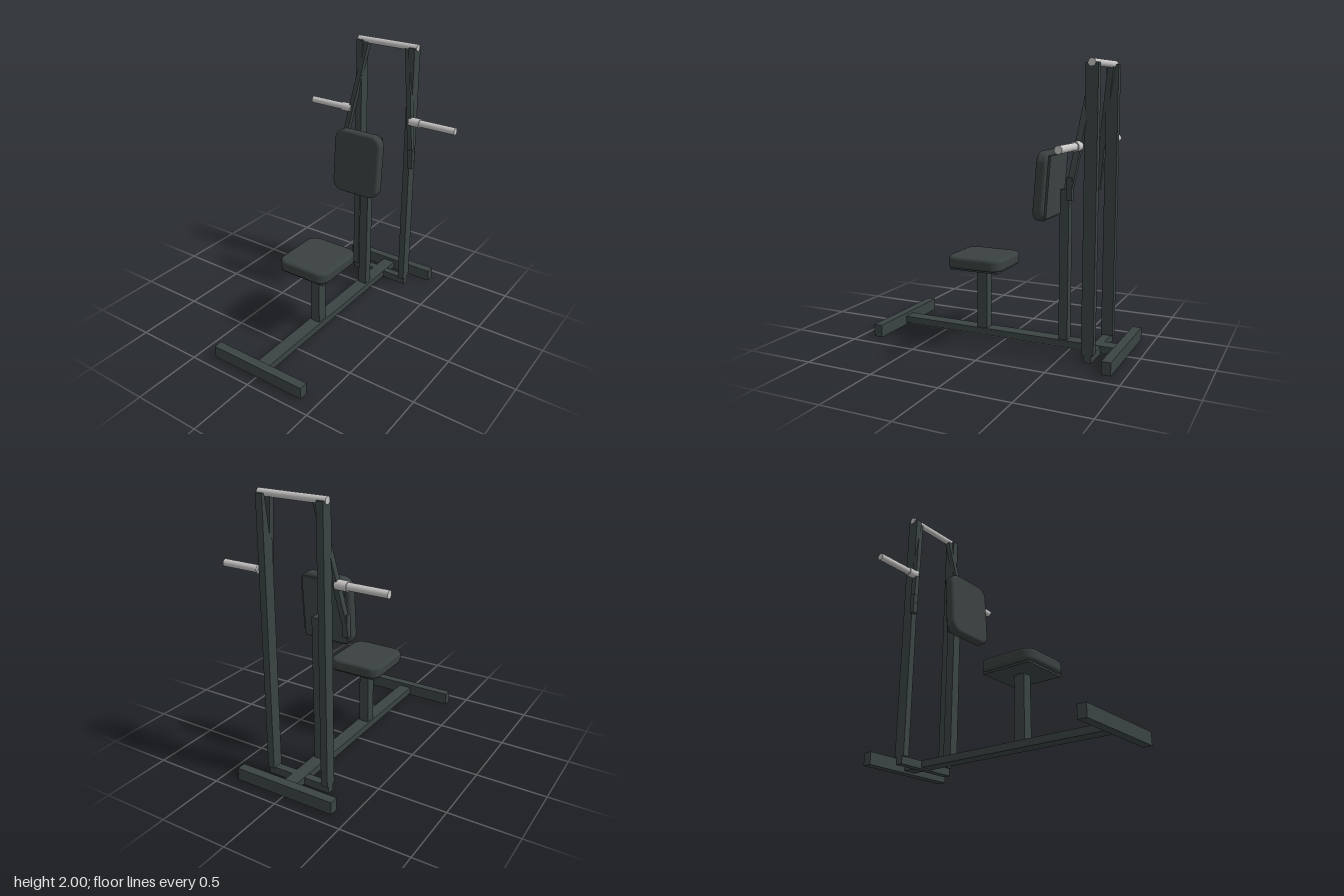
import * as THREE from 'three';

const frameMat = new THREE.MeshStandardMaterial({ color: 0x3b4443, name: 'dark frame' });
const padMat = new THREE.MeshStandardMaterial({ color: 0x394140, name: 'dark padding' });
const metalMat = new THREE.MeshStandardMaterial({ color: 0xc6c5c4, name: 'bare metal' });

function add(parent, name, geometry, material, x = 0, y = 0, z = 0) {
  const mesh = new THREE.Mesh(geometry, material);
  mesh.name = name;
  mesh.position.set(x, y, z);
  parent.add(mesh);
  return mesh;
}

// Box given by its lower and upper corner
function box(parent, name, [x0, y0, z0], [x1, y1, z1], material = frameMat) {
  return add(parent, name, new THREE.BoxGeometry(x1 - x0, y1 - y0, z1 - z0), material,
    (x0 + x1) / 2, (y0 + y1) / 2, (z0 + z1) / 2);
}

// Round bar lying along x
function rod(parent, name, x0, x1, y, z, radius) {
  const g = new THREE.CylinderGeometry(radius, radius, Math.abs(x1 - x0), 24).rotateZ(Math.PI / 2);
  return add(parent, name, g, metalMat, (x0 + x1) / 2, y, z);
}

// Cushion with round corners and soft edges, centred, thickness along z
function cushion(w, h, depth, corner, bevel) {
  const a = w / 2 - bevel, b = h / 2 - bevel, r = corner - bevel;
  const s = new THREE.Shape();
  s.absarc(a - r, b - r, r, 0, Math.PI / 2);
  s.absarc(-a + r, b - r, r, Math.PI / 2, Math.PI);
  s.absarc(-a + r, -b + r, r, Math.PI, Math.PI * 1.5);
  s.absarc(a - r, -b + r, r, Math.PI * 1.5, Math.PI * 2);
  s.closePath();
  return new THREE.ExtrudeGeometry(s, {
    depth: depth - 2 * bevel, bevelEnabled: true, bevelSize: bevel,
    bevelThickness: bevel, bevelSegments: 5, curveSegments: 8,
  }).center();
}

// Square bar between two points
function strut(parent, name, from, to, width, depth) {
  const a = new THREE.Vector3(...from), b = new THREE.Vector3(...to);
  const dir = b.clone().sub(a);
  const mesh = add(parent, name, new THREE.BoxGeometry(width, dir.length(), depth), frameMat);
  mesh.position.copy(a).add(b).multiplyScalar(0.5);
  mesh.quaternion.setFromUnitVectors(new THREE.Vector3(0, -1, 0), dir.normalize());
  return mesh;
}

export function createModel() {
  const model = new THREE.Group();
  model.name = 'shoulderPressMachine';

  // Base
  box(model, 'frontFoot', [-0.38, 0, 0.84], [0.38, 0.09, 0.905]);
  box(model, 'backFoot', [-0.38, 0, -0.905], [0.38, 0.09, -0.84]);
  box(model, 'baseRail', [-0.05, 0.015, -0.84], [0.05, 0.065, 0.84]);
  box(model, 'uprightCrossMember', [-0.245, 0.006, -0.728], [0.245, 0.062, -0.672]);

  // Seat
  box(model, 'seatPost', [-0.037, 0.065, 0.145], [0.037, 0.52, 0.225]);
  box(model, 'seatPlate', [-0.18, 0.52, -0.005], [0.18, 0.54, 0.373]);
  add(model, 'seatPad', cushion(0.41, 0.432, 0.087, 0.08, 0.022).rotateX(-Math.PI / 2),
    padMat, 0, 0.577, 0.184);

  // Backrest, leaning slightly back
  box(model, 'backPost', [-0.034, 0.065, -0.481], [0.034, 1.13, -0.416]);
  const backrest = new THREE.Group();
  backrest.name = 'backrest';
  backrest.position.set(0, 1.158, -0.326);
  backrest.rotation.x = -0.075;
  model.add(backrest);
  add(backrest, 'backPad', cushion(0.39, 0.482, 0.08, 0.08, 0.022), padMat);
  box(backrest, 'backPlate', [-0.165, -0.215, -0.055], [0.165, 0.215, -0.038]);

  // Top pivot bar
  rod(model, 'pivotBar', -0.25, 0.25, 1.975, -0.7, 0.025);

  // Uprights, press arms, grips and weight pegs on both sides
  for (const s of [1, -1]) {
    const side = s > 0 ? 'left' : 'right';
    add(model, side + 'Upright', new THREE.BoxGeometry(0.05, 1.915, 0.085), frameMat, s * 0.22, 1.0175, -0.7);
    strut(model, side + 'PressArm', [s * 0.17, 1.98, -0.7], [s * 0.299, 1.18, -0.585], 0.036, 0.042);
    add(model, side + 'Grip', new THREE.BoxGeometry(0.038, 0.15, 0.038), frameMat, s * 0.299, 1.175, -0.584);
    rod(model, side + 'PegCollar', s * 0.255, s * 0.34, 1.449, -0.624, 0.033);
    rod(model, side + 'WeightPeg', s * 0.34, s * 0.622, 1.449, -0.624, 0.026);
  }
  return model;
}
